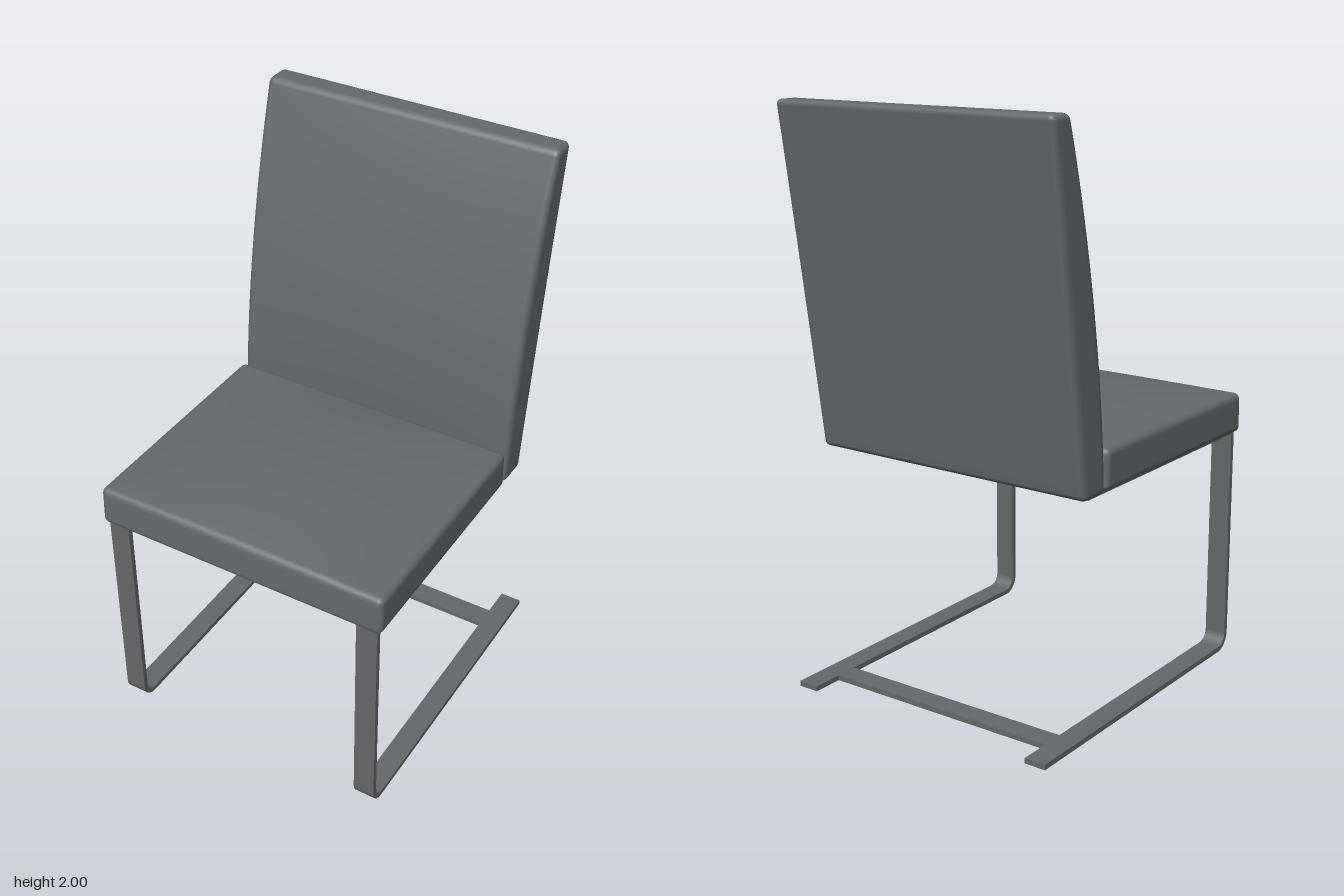
import * as THREE from 'three';
import { mergeVertices } from 'three/addons/utils/BufferGeometryUtils.js';

const upholstery = new THREE.MeshStandardMaterial({ name: 'grey upholstery', color: 0x64696c });
const metal = new THREE.MeshStandardMaterial({ name: 'grey metal', color: 0x65686a });

// Finely divided block with rounded edges; deform(p) then shapes each vertex.
function cushion(w, h, d, r, deform) {
  const N = 24, K = 4; // K of the N divisions lie in each rounded edge
  const half = [w / 2, h / 2, d / 2];
  const geo = new THREE.BoxGeometry(1, 1, 1, N, N, N);
  geo.deleteAttribute('uv');
  geo.deleteAttribute('normal');
  const pos = geo.attributes.position;
  const p = new THREE.Vector3(), core = new THREE.Vector3();
  const spread = (t, H) => {
    const i = Math.round((t + 0.5) * N);
    if (i <= K) return -H + (r * i) / K;
    if (i >= N - K) return H - (r * (N - i)) / K;
    return -H + r + ((i - K) / (N - 2 * K)) * 2 * (H - r);
  };
  for (let i = 0; i < pos.count; i++) {
    p.set(spread(pos.getX(i), half[0]), spread(pos.getY(i), half[1]), spread(pos.getZ(i), half[2]));
    core.set(...p.toArray().map((v, a) => THREE.MathUtils.clamp(v, r - half[a], half[a] - r)));
    p.sub(core).normalize().multiplyScalar(r).add(core);
    deform(p);
    pos.setXYZ(i, p.x, p.y, p.z);
  }
  const merged = mergeVertices(geo, 1e-5);
  merged.computeVertexNormals();
  return merged;
}

export function createModel() {
  const chair = new THREE.Group();
  chair.name = 'chair';
  const add = (name, geo, mat, x = 0, y = 0, z = 0) => {
    const mesh = new THREE.Mesh(geo, mat);
    mesh.name = name;
    mesh.position.set(x, y, z);
    chair.add(mesh);
    return mesh;
  };

  // Seat with a domed top
  const seatW = 1.07, seatH = 0.142, seatD = 0.868;
  add('seat', cushion(seatW, seatH, seatD, 0.022, (p) => {
    const u = (2 * p.x) / seatW, v = (2 * p.z) / seatD;
    const t = THREE.MathUtils.clamp(p.y / seatH + 0.5, 0, 1);
    p.y += 0.037 * (1 - u * u) * (1 - v * v) * t;
    p.z += 0.006 * v * (0.5 - t); // front leans in slightly towards the top
  }), upholstery, 0, 0.891, 0.151);

  // Backrest with a curved front, straight leaning back and tapering thickness
  const backH = 1.18, backD = 0.1;
  add('backrest', cushion(1.07, backH, backD, 0.02, (p) => {
    const s = p.y / backH + 0.5, u = p.x / 0.535;
    const front = -0.285 - 0.21 * s * s - 0.012 * u * u * Math.sin(Math.PI * s);
    const back = -0.41 - 0.176 * s;
    p.z = THREE.MathUtils.lerp(back, front, p.z / backD + 0.5);
  }), upholstery, 0, 1.41, 0);

  // Bent flat-bar legs: under the seat, down the front and back along the floor
  const T = 0.018, F = 0.572, R = 0.06, topY = 0.832, rear = -0.586, under = -0.36;
  const side = new THREE.Shape();
  side.moveTo(rear, 0);
  side.lineTo(F - R, 0);
  side.absarc(F - R, R, R, -Math.PI / 2, 0, false);
  side.lineTo(F, topY);
  side.lineTo(under, topY);
  side.lineTo(under, topY - T);
  side.lineTo(F - T, topY - T);
  side.lineTo(F - T, R);
  side.absarc(F - R, R, R - T, 0, -Math.PI / 2, true);
  side.lineTo(rear, T);
  side.closePath();
  const legGeo = new THREE.ExtrudeGeometry(side, { depth: 0.077, bevelEnabled: false, curveSegments: 10 });
  legGeo.rotateY(-Math.PI / 2);
  add('leftLeg', legGeo, metal, 0.516);
  add('rightLeg', legGeo, metal, -0.439);

  // Cross bars on the floor and under the rear of the seat
  add('floorCrossBar', new THREE.BoxGeometry(0.88, T, 0.08), metal, 0, T / 2, -0.435);
  add('seatCrossBar', new THREE.BoxGeometry(0.88, T, 0.077), metal, 0, topY - T / 2, under + 0.0385);

  // Panel closing the underside of the seat
  add('undersidePanel', new THREE.BoxGeometry(0.88, 0.012, 0.85), metal, 0, 0.823, 0.14);

  return chair;
}
